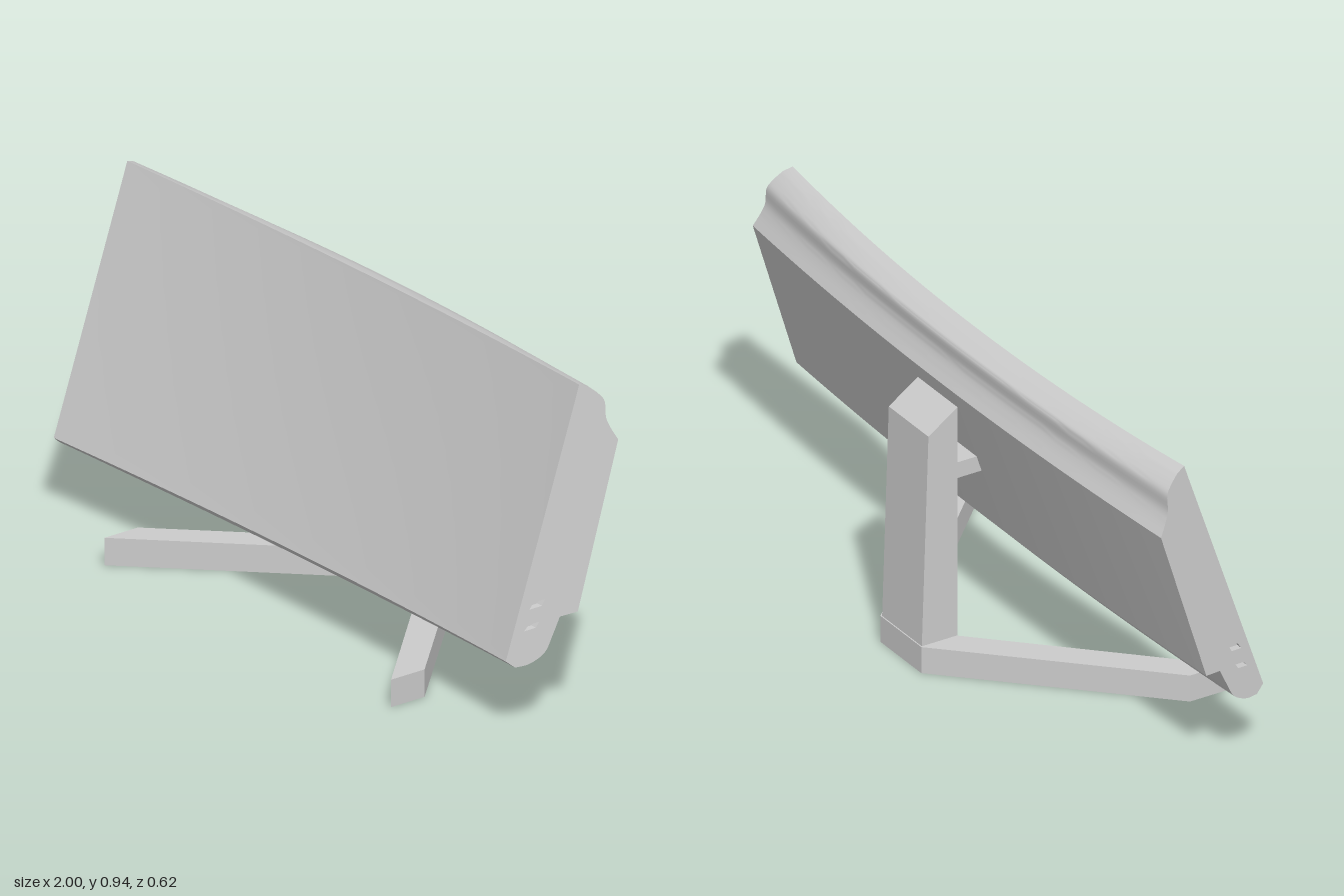
import * as THREE from 'three';
import { toCreasedNormals } from 'three/addons/utils/BufferGeometryUtils.js';

const material = new THREE.MeshStandardMaterial({ color: 0xcccccc });
const thin = new THREE.MeshStandardMaterial({ color: 0xcccccc, side: THREE.DoubleSide });

function addMesh(group, name, geometry, mat = material) {
  const mesh = new THREE.Mesh(geometry, mat);
  mesh.name = name;
  group.add(mesh);
  return mesh;
}

// Skin stretched over a list of closed rings of Vector3
function loft(rings) {
  const n = rings[0].length;
  const index = [];
  for (let i = 0; i < rings.length - 1; i++) {
    for (let j = 0; j < n; j++) {
      const a = i * n + j, c = i * n + (j + 1) % n;
      index.push(a, a + n, c, a + n, c + n, c);
    }
  }
  const g = new THREE.BufferGeometry().setFromPoints(rings.flat());
  g.setIndex(index);
  return toCreasedNormals(g, 0.6);
}

// Profile pieces as [z, y at the ends, z, y at the middle]
const screenRow = [
  [0.205, 0.218, 0.16, 0.203], [0.2, 0.232, 0.142, 0.25],
  [-0.028, 0.905, -0.082, 0.915], [-0.04, 0.942, -0.085, 0.926],
];
const topGroove = [
  [-0.066, 0.932, -0.115, 0.919], [-0.09, 0.91, -0.14, 0.906], [-0.107, 0.885, -0.157, 0.892],
  [-0.108, 0.842, -0.155, 0.85], [-0.118, 0.812, -0.165, 0.82], [-0.138, 0.774, -0.185, 0.783],
];
const ledge = [[0, 0.322, -0.04, 0.333], [0.05, 0.316, 0.01, 0.318]];
const chin = [
  [0.05, 0.316, 0.01, 0.318], [0.072, 0.27, 0.03, 0.275], [0.097, 0.225, 0.055, 0.235],
  [0.14, 0.201, 0.1, 0.195], [0.18, 0.197, 0.145, 0.184],
];

// Smooth run through the given profile points
function smooth(rows, steps) {
  const curve = (k) => new THREE.CatmullRomCurve3(
    rows.map((r) => new THREE.Vector3(r[k], r[k + 1], 0)), false, 'catmullrom', 0.5);
  const ends = curve(0).getPoints(steps), mids = curve(2).getPoints(steps);
  return ends.map((e, i) => [e.x, e.y, mids[i].x, mids[i].y]);
}

const profile = [...screenRow, ...smooth(topGroove, 20), ledge[0], ...smooth(chin, 16)];

// The end faces lean outward with depth behind the screen plane
const endX = (z, y) => 0.957 + 0.28 * (0.264 - 0.947 * z - 0.321 * y);

// Socket outlines on the end faces, as [z, y]
const sockets = [
  [[0.132, 0.349], [0.12, 0.367], [0.087, 0.371], [0.097, 0.354]],
  [[0.15, 0.292], [0.137, 0.307], [0.107, 0.312], [0.117, 0.297]],
];
const toVectors = (pts) => pts.map((p) => new THREE.Vector2(p[0], p[1]));

// Flat shape in (z, y) laid onto an end face, sunk inward by depth
function endFace(shape, side, depth) {
  const g = new THREE.ShapeGeometry(shape);
  const p = g.attributes.position;
  for (let i = 0; i < p.count; i++) {
    const z = p.getX(i), y = p.getY(i);
    p.setXYZ(i, side * (endX(z, y) - depth), y, z);
  }
  if (side > 0) g.index.array.reverse();
  g.computeVertexNormals();
  return g;
}

function createDisplay() {
  const display = new THREE.Group();
  display.name = 'display';

  // Curved housing with its screen face
  const rings = [];
  const steps = 32;
  for (let i = 0; i <= steps; i++) {
    const t = (i / steps) * 2 - 1;
    rings.push(profile.map(([ez, ey, mz, my]) => new THREE.Vector3(
      t * endX(ez, ey), my + (ey - my) * t * t, mz + (ez - mz) * t * t)));
  }
  addMesh(display, 'curvedHousing', loft(rings));

  // End faces with two sunken sockets each
  for (const side of [-1, 1]) {
    const label = side > 0 ? 'left' : 'right';
    const shape = new THREE.Shape(toVectors(profile));
    shape.holes = sockets.map((s) => new THREE.Path(toVectors(s)));
    addMesh(display, label + 'EndFace', endFace(shape, side, 0));
    for (const s of sockets) {
      const walls = [0, 0.02].map((d) => s.map(
        ([z, y]) => new THREE.Vector3(side * (endX(z, y) - d), y, z)));
      addMesh(display, label + 'SocketWalls', loft(walls), thin);
      addMesh(display, label + 'SocketFloor', endFace(new THREE.Shape(toVectors(s)), side, 0.02), thin);
    }
  }
  return display;
}

function createStand() {
  const stand = new THREE.Group();
  stand.name = 'stand';

  // V-shaped foot, outlined from above as (x, -z)
  const half = [[0.1, -0.312], [0.607, 0.2], [0.607, 0.312], [0.097, -0.2]];
  const outline = [...half, ...half.map(([x, z]) => [-x, z]).reverse()];
  const foot = new THREE.ExtrudeGeometry(
    new THREE.Shape(outline.map(([x, z]) => new THREE.Vector2(x, -z))),
    { depth: 0.078, bevelEnabled: false });
  foot.rotateX(-Math.PI / 2);
  addMesh(stand, 'foot', foot);

  // Tapered column with a sloping top, outlined from the side as (-z, y)
  const side = [[0.198, 0.002], [0.311, 0.002], [0.288, 0.7], [0.198, 0.762]];
  const column = new THREE.ExtrudeGeometry(new THREE.Shape(toVectors(side)),
    { depth: 0.194, bevelEnabled: false });
  column.translate(0, 0, -0.097);
  column.rotateY(Math.PI / 2);
  addMesh(stand, 'column', column);

  // Arm joining the column to the display
  const arm = addMesh(stand, 'mountingArm', new THREE.BoxGeometry(0.13, 0.047, 0.12));
  arm.position.set(0, 0.552, -0.15);
  return stand;
}

export function createModel() {
  const model = new THREE.Group();
  model.name = 'curvedMonitor';
  model.add(createDisplay(), createStand());
  return model;
}
